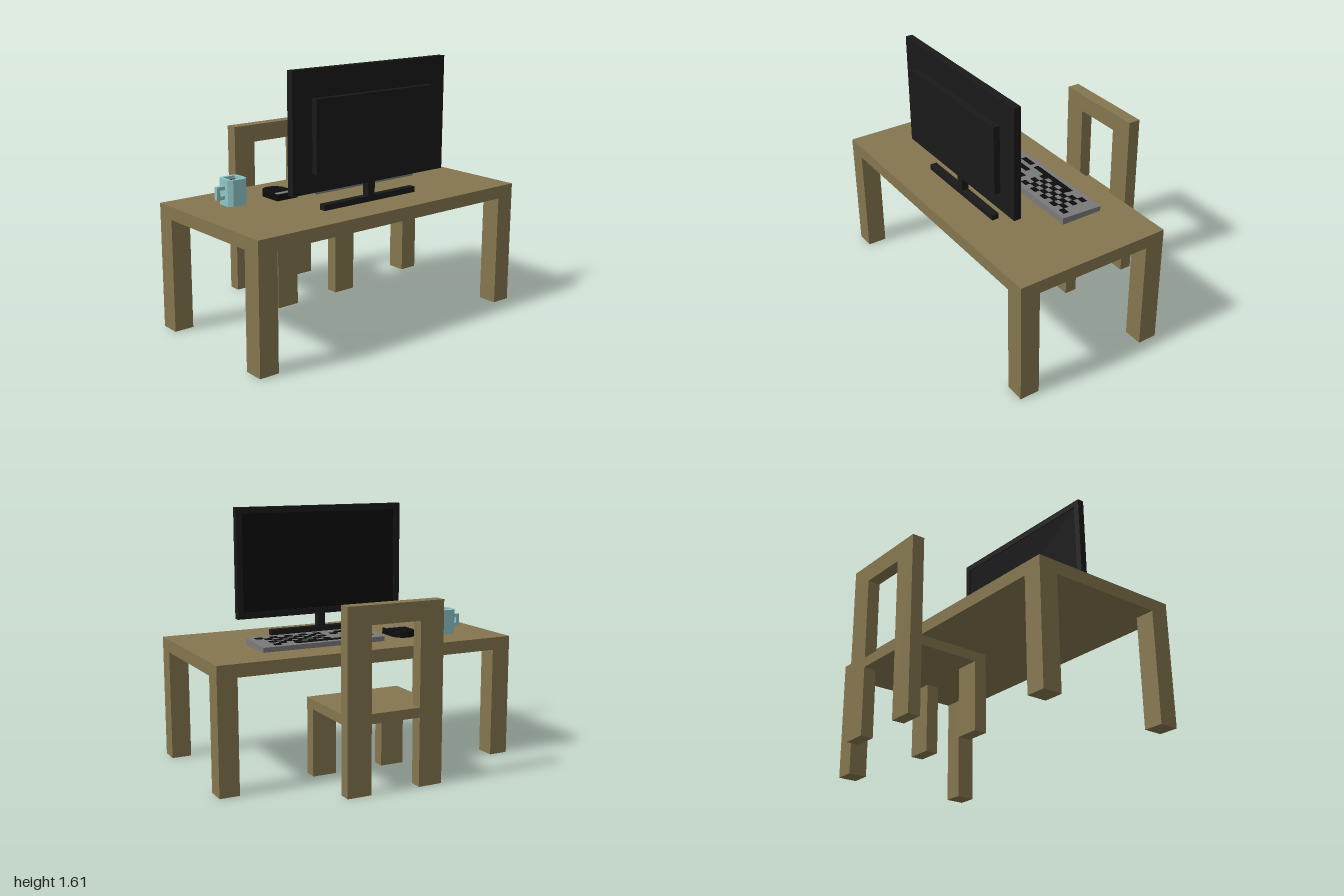
import * as THREE from 'three';

const mat = (color) => new THREE.MeshStandardMaterial({ color, flatShading: true });
const wood = mat(0x85764f), black = mat(0x1a1a1a), dark = mat(0x0d0d0d);
const grey = mat(0x7a7a7a), cyan = mat(0x8fc6c9), coffee = mat(0x66190d);

// Box given by its extents on each axis
function box(parent, name, m, x0, x1, y0, y1, z0, z1) {
  const mesh = new THREE.Mesh(new THREE.BoxGeometry(x1 - x0, y1 - y0, z1 - z0), m);
  mesh.position.set((x0 + x1) / 2, (y0 + y1) / 2, (z0 + z1) / 2);
  mesh.name = name;
  parent.add(mesh);
  return mesh;
}

function group(parent, name) {
  const g = new THREE.Group();
  g.name = name;
  parent.add(g);
  return g;
}

// Upright extrusion of a plan; plan points are (x, -z)
function prism(parent, name, m, shape, y0, y1) {
  const geo = new THREE.ExtrudeGeometry(shape, { depth: y1 - y0, bevelEnabled: false, curveSegments: 8 });
  const mesh = new THREE.Mesh(geo.rotateX(-Math.PI / 2), m);
  mesh.position.y = y0;
  mesh.name = name;
  parent.add(mesh);
  return mesh;
}

function buildDesk(root) {
  const g = group(root, 'desk');
  box(g, 'deskTop', wood, -0.33, 0.67, 0.7, 0.78, -1, 1);
  for (const x of [-0.33, 0.545])
    for (const z of [-1, 0.875]) box(g, 'deskLeg', wood, x, x + 0.125, 0, 0.7, z, z + 0.125);
}

function buildChair(root) {
  const g = group(root, 'chair');
  box(g, 'seat', wood, -0.59, -0.13, 0.425, 0.485, -0.35, 0.28);
  box(g, 'seatBackEdge', wood, -0.67, -0.59, 0.425, 0.485, -0.195, 0.125);
  for (const z of [-0.35, 0.125]) {
    box(g, 'frontLeg', wood, -0.21, -0.13, 0, 0.425, z, z + 0.155);
    box(g, 'backPost', wood, -0.67, -0.59, 0, 1.0, z, z + 0.155);
  }
  box(g, 'backRail', wood, -0.67, -0.59, 1.0, 1.115, -0.35, 0.28);
}

function buildMonitor(root) {
  const g = group(root, 'monitor');
  box(g, 'panel', black, 0.402, 0.435, 0.9, 1.61, -0.59, 0.59);
  box(g, 'screen', dark, 0.398, 0.403, 0.94, 1.57, -0.55, 0.55);
  // Bezel around the screen, which faces -x
  for (const y of [0.9, 1.57]) box(g, 'bezel', black, 0.39, 0.402, y, y + 0.04, -0.59, 0.59);
  for (const z of [-0.59, 0.55]) box(g, 'bezel', black, 0.39, 0.402, 0.94, 1.57, z, z + 0.04);
  box(g, 'rearHousing', black, 0.435, 0.475, 1.015, 1.445, -0.45, 0.45);
  box(g, 'neck', black, 0.39, 0.435, 0.815, 0.9, -0.027, 0.027);
  box(g, 'base', black, 0.39, 0.435, 0.78, 0.815, -0.36, 0.36);
}

function buildKeyboard(root) {
  const g = group(root, 'keyboard');
  // Body rising slightly towards +x
  const body = box(g, 'keyboardBody', grey, -0.147, 0.127, 0.788, 0.818, -0.64, 0.18);
  const p = body.geometry.attributes.position;
  for (let i = 0; i < p.count; i++)
    if (p.getX(i) > 0 && p.getY(i) > 0) p.setY(i, p.getY(i) + 0.014);
  body.geometry.computeVertexNormals();

  // Key rows along z, listing the columns that hold a key
  const rows = ['5', '024', '135', '24', '135', '24', '135', '24', '135', '', '4', '25', '0245', '024', '135'];
  const slope = Math.atan2(0.014, 0.274);
  const key = (name, col, z0, z1) => {
    const x = -0.114 + col * 0.0345;
    const y = 0.818 + (x + 0.164) * 0.051;
    box(g, name, dark, x, x + 0.0345, y - 0.004, y + 0.003, z0, z1).rotation.z = slope;
  };
  rows.forEach((cols, r) => {
    const z = -0.6 + r * 0.049;
    for (const c of cols) key('key', Number(c), z, z + 0.049);
  });
  key('spaceBar', 0, -0.41, -0.05);
}

function buildMouse(root) {
  const g = group(root, 'mouse');
  const s = new THREE.Shape();
  s.moveTo(0.1, -0.3);
  s.lineTo(-0.03, -0.3);
  s.absarc(-0.03, -0.375, 0.075, Math.PI / 2, Math.PI * 1.5, false);
  s.lineTo(0.1, -0.45);
  s.closePath();
  prism(g, 'mouseBody', dark, s, 0.785, 0.824);
  for (const z of [0.308, 0.379]) box(g, 'mouseButton', grey, 0.06, 0.095, 0.82, 0.827, z, z + 0.063);
}

function buildCup(root) {
  const g = group(root, 'cup');
  // Square plan with cut corners
  const octagon = (r, c) => [[r, c - r], [r, r - c], [r - c, r], [c - r, r], [-r, r - c], [-r, c - r], [c - r, -r], [r - c, -r]]
    .map(([x, y]) => new THREE.Vector2(x, y));
  const square = [[-1, -1], [-1, 1], [1, 1], [1, -1]].map(([x, y]) => new THREE.Vector2(x * 0.043, y * 0.043));
  const wall = new THREE.Shape(octagon(0.066, 0.024));
  wall.holes.push(new THREE.Path(square));
  prism(g, 'cupWall', cyan, wall, 0.79, 0.94);
  prism(g, 'cupBottom', cyan, new THREE.Shape(octagon(0.066, 0.024)), 0.78, 0.79);
  box(g, 'drink', coffee, -0.043, 0.043, 0.79, 0.92, -0.043, 0.043);
  // C-shaped handle
  box(g, 'handleGrip', cyan, -0.013, 0.013, 0.82, 0.9, 0.099, 0.121);
  for (const y of [0.82, 0.878]) box(g, 'handleArm', cyan, -0.013, 0.013, y, y + 0.022, 0.064, 0.099);
  g.position.set(-0.034, 0, 0.676);
}

export function createModel() {
  const root = new THREE.Group();
  root.name = 'computerDesk';
  for (const build of [buildDesk, buildChair, buildMonitor, buildKeyboard, buildMouse, buildCup]) build(root);
  return root;
}
